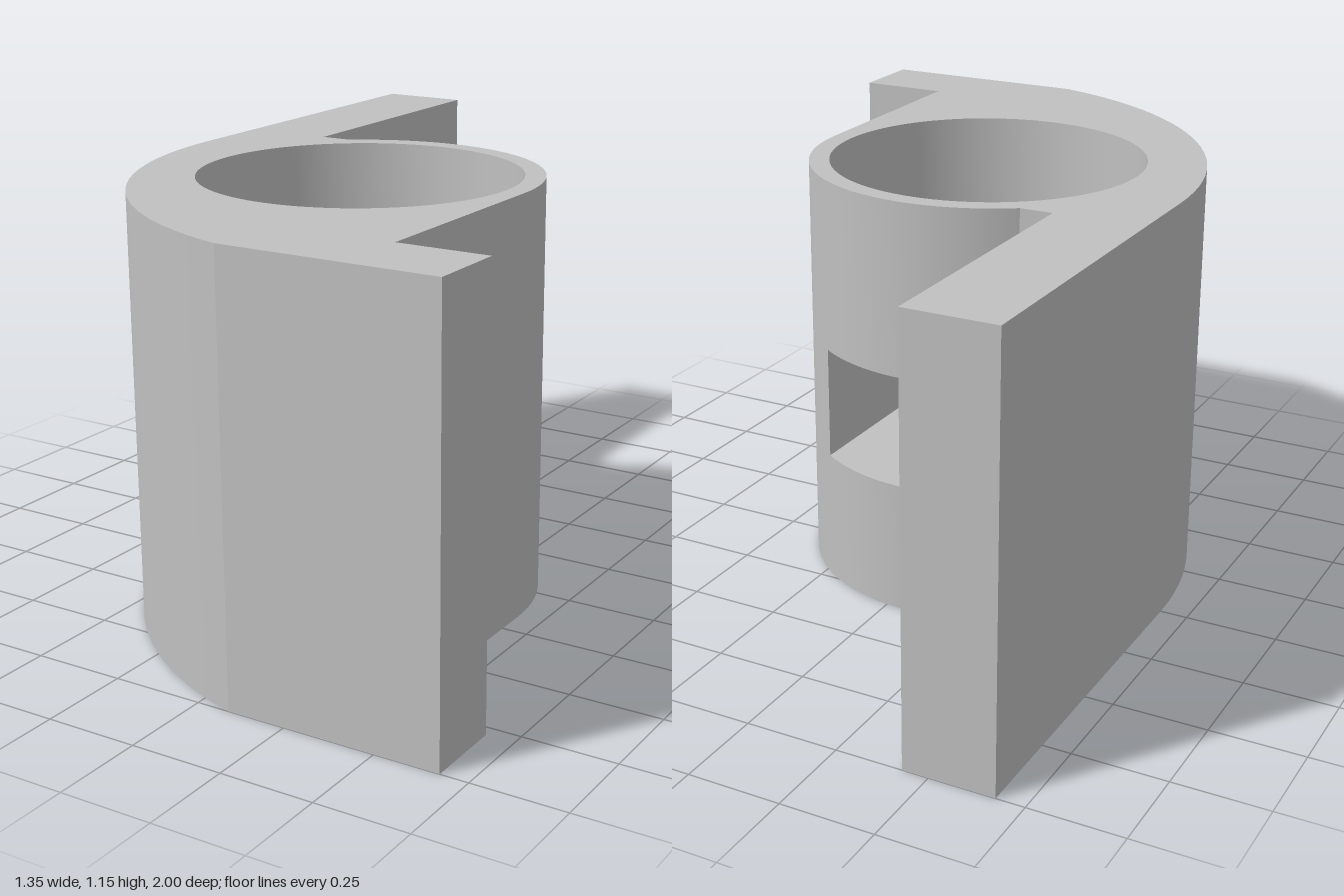
import * as THREE from 'three';
import { toCreasedNormals } from 'three/addons/utils/BufferGeometryUtils.js';

// Plan coordinates are [x, z]; heights are y.
const HEIGHT = 1.15, SLOT_LOW = 0.365, SLOT_HIGH = 0.675, RECESS_FLOOR = 0.875;
const CX = -0.055, CZ = 0.167;                        // bore axis
const BOSS_R = 0.485, RECESS_R = 0.43, BORE_R = 0.167;

function arc(cx, cz, r, from, to, steps) {
  return Array.from({ length: steps + 1 }, (_, i) => {
    const a = from + (to - from) * i / steps;
    return [cx + r * Math.cos(a), cz + r * Math.sin(a)];
  });
}

// Upright wall along a path; the open side is on the left of travel seen from above.
function wall(path, y0, y1) {
  const pos = [];
  for (let i = 0; i < path.length - 1; i++) {
    const [ax, az] = path[i], [bx, bz] = path[i + 1];
    pos.push(ax, y0, az, bx, y1, bz, bx, y0, bz);
    pos.push(ax, y0, az, ax, y1, az, bx, y1, bz);
  }
  const g = new THREE.BufferGeometry();
  g.setAttribute('position', new THREE.Float32BufferAttribute(pos, 3));
  return toCreasedNormals(g, 0.2);
}

// Flat face at height y, facing up or down, with an optional hole.
function cap(path, hole, y, up) {
  const s = up ? -1 : 1;
  const flat = (p) => p.map(([x, z]) => new THREE.Vector2(x, s * z));
  const shape = new THREE.Shape(flat(path));
  if (hole) shape.holes.push(new THREE.Path(flat(hole)));
  return new THREE.ShapeGeometry(shape).rotateX(s * Math.PI / 2).translate(0, y, 0);
}

export function createModel() {
  const model = new THREE.Group();
  model.name = 'bracket';
  const grey = new THREE.MeshStandardMaterial({ color: 0xc0c0c0 });
  grey.name = 'grey';
  const add = (name, geometry) => {
    const mesh = new THREE.Mesh(geometry, grey);
    mesh.name = name;
    model.add(mesh);
  };

  // Boss arc, split where the side slot opens at the back
  const half = 0.278;
  const slotA = -Math.PI + Math.acos(half / BOSS_R), slotB = -Math.acos(half / BOSS_R);
  const startA = Math.atan2(-0.225 - CZ, -0.3406 - CX);
  const opening = arc(CX, CZ, BOSS_R, slotA, slotB, 24);
  const sweepR = 1.036, sweepX = -0.675 + sweepR;
  const rest = [
    ...arc(CX, CZ, BOSS_R, slotB, 0, 16),
    [0.43, 0.785], [0.675, 0.785], [0.675, 1],        // foot
    ...arc(sweepX, 0, sweepR, Math.atan2(1, 0.09 - sweepX), Math.PI, 24),
    [-0.675, -1], [-0.43, -1], [-0.43, -0.225],       // arm
    ...arc(CX, CZ, BOSS_R, startA, slotA, 1),
  ];
  const outline = [...opening, ...rest.slice(1, -1)];

  // Slot with a hexagonal inner end
  const tan30 = Math.tan(Math.PI / 6);
  const pocket = [
    opening[0],
    [CX - half, CZ + half * tan30], [CX, CZ + 2 * half * tan30], [CX + half, CZ + half * tan30],
    opening[opening.length - 1],
  ];
  const slotPlan = [...opening, ...pocket.slice(1, -1).reverse()];

  const bore = arc(CX, CZ, BORE_R, Math.PI * 2, 0, 64);
  const recess = arc(CX, CZ, RECESS_R, Math.PI * 2, 0, 96);
  const boreHole = bore.slice(0, -1), recessRim = recess.slice(0, -1);

  // Outer body
  add('outerWall', wall(rest, 0, HEIGHT));
  add('bossWallBelowSlot', wall(opening, 0, SLOT_LOW));
  add('bossWallAboveSlot', wall(opening, SLOT_HIGH, HEIGHT));
  add('underside', cap(outline, boreHole, 0, false));
  add('topFace', cap(outline, recessRim, HEIGHT, true));

  // Side slot
  add('slotWall', wall(pocket, SLOT_LOW, SLOT_HIGH));
  add('slotFloor', cap(slotPlan, boreHole, SLOT_LOW, true));
  add('slotCeiling', cap(slotPlan, boreHole, SLOT_HIGH, false));

  // Round recess and through bore
  add('recessWall', wall(recess, RECESS_FLOOR, HEIGHT));
  add('recessFloor', cap(recessRim, boreHole, RECESS_FLOOR, true));
  add('lowerBore', wall(bore, 0, SLOT_LOW));
  add('upperBore', wall(bore, SLOT_HIGH, RECESS_FLOOR));

  return model;
}
